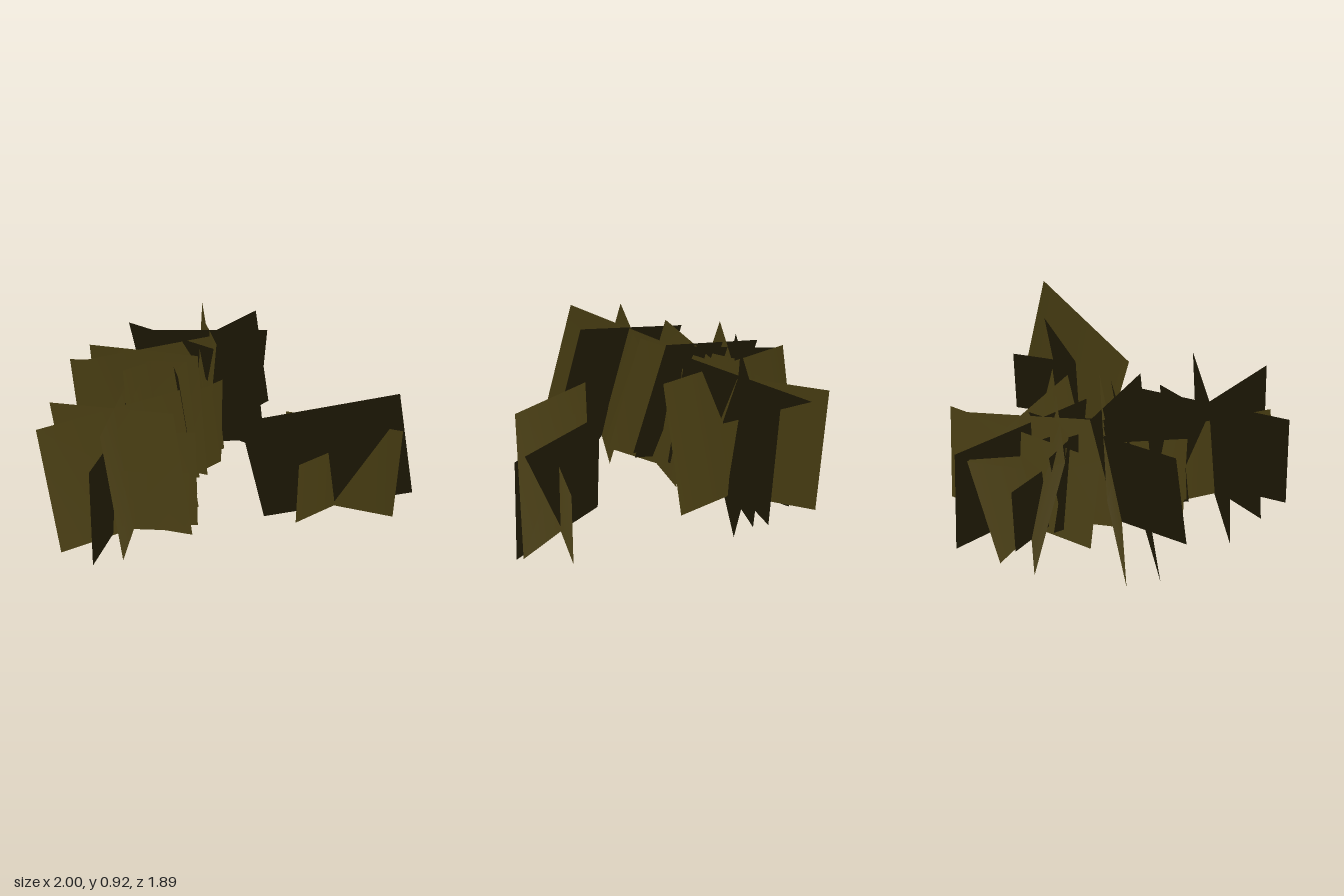
import * as THREE from 'three';

const foliage = new THREE.MeshStandardMaterial({ color: 0x40360f, side: THREE.DoubleSide });
foliage.name = 'dark olive foliage';

// One flat leaf card: a parallelogram from three corners (top start, top end, bottom end).
// Its front is the upward-leaning side, with soft normals bent towards the sky.
function leafCard(a, b, c) {
  const d = a.map((v, i) => v + c[i] - b[i]);
  const [va, vb, vc] = [a, b, c].map((p) => new THREE.Vector3(...p));
  const facing = vc.clone().sub(va).cross(vb.clone().sub(va));
  const normals = [a, b, c, d].flatMap((p) =>
    new THREE.Vector3(p[0] * 0.3, 1, p[2] * 0.3).normalize().toArray());

  const geometry = new THREE.BufferGeometry();
  geometry.setAttribute('position', new THREE.Float32BufferAttribute([...a, ...b, ...c, ...d], 3));
  geometry.setAttribute('normal', new THREE.Float32BufferAttribute(normals, 3));
  geometry.setIndex(facing.y >= 0 ? [0, 3, 2, 0, 2, 1] : [0, 2, 3, 0, 1, 2]);
  const mesh = new THREE.Mesh(geometry, foliage);
  mesh.name = 'leafCard';
  return mesh;
}

function clump(name, cards) {
  const group = new THREE.Group();
  group.name = name;
  for (const corners of cards) group.add(leafCard(...corners));
  return group;
}

export function createModel() {
  const model = new THREE.Group();
  model.name = 'bushCards';

  // Separate clump on the left side
  model.add(clump('sideClump', [
    [[0.26, 0.74, 0.07], [0.93, 0.93, -0.44], [1.0, 0.22, -0.6]],
    [[0.35, 0.69, -0.24], [0.96, 0.69, -0.47], [0.97, 0.12, -0.45]],
    [[0.57, 0.52, -0.06], [0.745, 0.52, -0.64], [0.745, 0.12, -0.64]],
  ]));

  // Star of cards at the front
  model.add(clump('frontClump', [
    [[-0.71, 0.72, 0.55], [0.09, 0.9, 0.42], [0.26, 0.22, 0.48]],
    [[-0.5, 0.72, 0.15], [-0.06, 0.9, 0.81], [0.11, 0.22, 0.87]],
    [[-0.46, 0.81, 0.88], [-0.13, 0.81, 0.1], [0.05, 0.12, 0.17]],
    [[-0.48, 0.69, 0.73], [0.09, 0.69, 0.24], [0.15, 0.12, 0.3]],
    [[-0.35, 0.68, 0.22], [-0.13, 0.66, 0.84], [-0.07, 0.12, 0.92]],
    [[-0.34, 0.52, 0.72], [0.15, 0.52, 0.37], [0.15, 0.12, 0.37]],
  ]));

  // Star of cards in the middle
  model.add(clump('middleClump', [
    [[-1.0, 0.72, -0.07], [-0.17, 0.92, -0.1], [-0.02, 0.22, 0.0]],
    [[-0.98, 0.71, 0.12], [-0.2, 0.9, -0.04], [-0.04, 0.22, 0.05]],
    [[-0.8, 0.82, 0.27], [-0.37, 0.82, -0.48], [-0.2, 0.12, -0.39]],
    [[-0.65, 0.72, -0.36], [-0.13, 0.9, 0.12], [0.05, 0.22, 0.18]],
    [[-0.48, 0.72, -0.4], [-0.4, 0.91, 0.27], [-0.26, 0.22, 0.38]],
    [[-0.3, 0.66, 0.34], [-0.17, 0.66, -0.33], [-0.13, 0.12, -0.27]],
    [[-0.58, 0.8, -0.26], [-0.3, 0.8, 0.3], [-0.24, 0.12, 0.2]],
    [[-0.46, 0.67, -0.2], [-0.42, 0.67, 0.36], [-0.36, 0.12, 0.36]],
  ]));

  // Star of cards at the back
  model.add(clump('backClump', [
    [[-0.85, 0.84, -0.27], [0.03, 0.84, -0.36], [0.02, 0.12, -0.54]],
    [[-0.72, 0.8, -0.82], [-0.22, 0.8, -0.17], [-0.14, 0.12, -0.23]],
    [[-0.62, 0.68, -0.1], [-0.34, 0.84, -0.88], [-0.26, 0.18, -0.94]],
    [[-0.6, 0.92, -0.15], [-0.24, 0.74, -0.87], [-0.2, 0.01, -0.73]],
    [[-0.5, 0.67, -0.2], [-0.3, 0.67, -0.82], [-0.24, 0.12, -0.84]],
    [[-0.67, 0.52, -0.56], [-0.2, 0.52, -0.17], [-0.2, 0.12, -0.17]],
    [[-0.67, 0.72, -0.77], [-0.17, 0.92, -0.27], [-0.15, 0.22, -0.15]],
  ]));
  return model;
}
